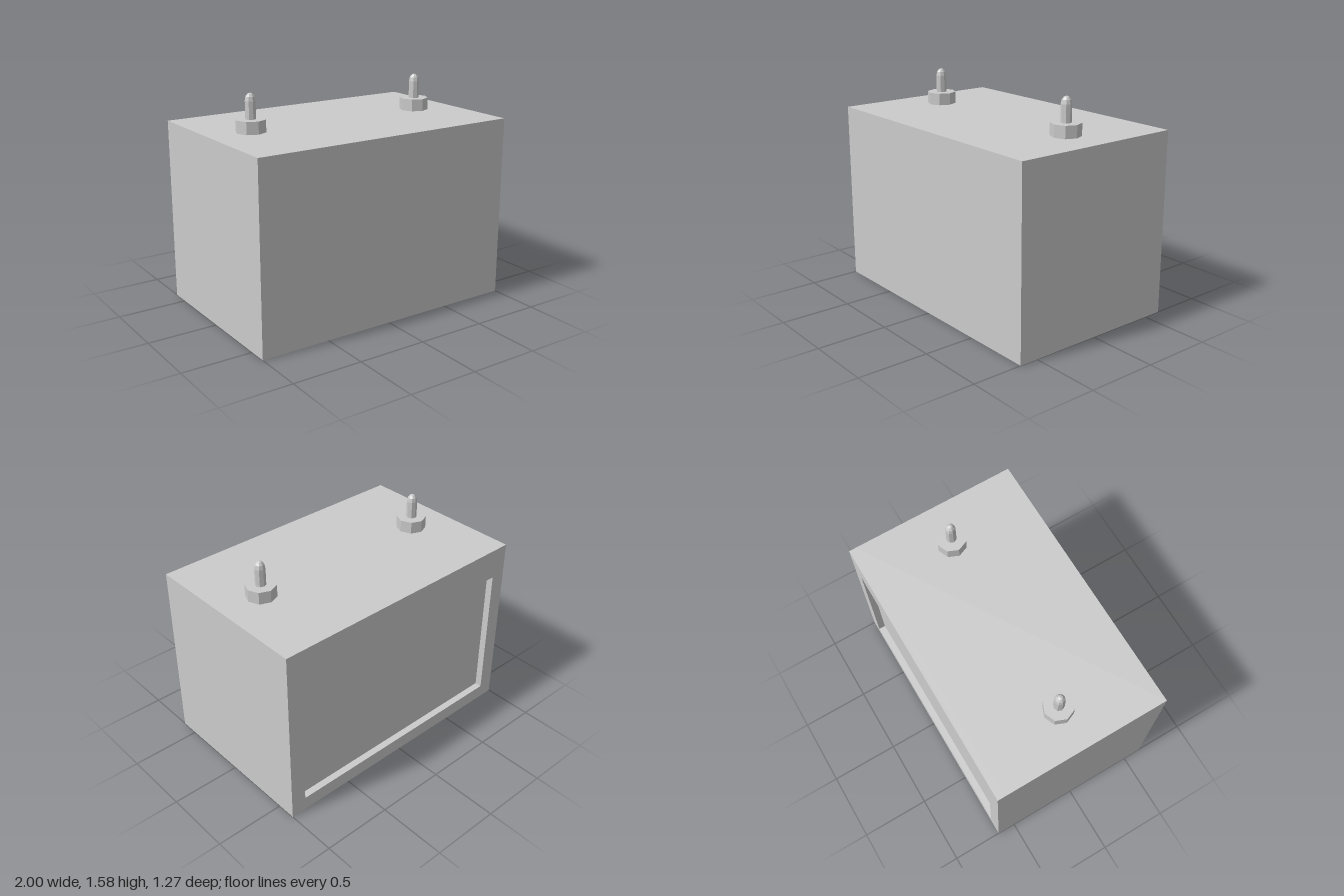
import * as THREE from 'three';

const W = 2, H = 1.315, D = 1.27;   // body size
const RECESS = 0.05;                // depth of the back panel recess

const material = new THREE.MeshStandardMaterial({ color: 0xcccccc, flatShading: true });

function addMesh(parent, name, geometry, x = 0, y = 0, z = 0) {
  const mesh = new THREE.Mesh(geometry, material);
  mesh.name = name;
  mesh.position.set(x, y, z);
  parent.add(mesh);
}

function rectangle(path, x0, y0, x1, y1) {
  path.moveTo(x0, y0).lineTo(x1, y0).lineTo(x1, y1).lineTo(x0, y1).closePath();
  return path;
}

// Terminal: octagonal nut with a round-tipped stud
function createTerminal(name, x) {
  const terminal = new THREE.Group();
  terminal.name = name;
  terminal.position.set(x, H, 0);
  addMesh(terminal, 'nut', new THREE.CylinderGeometry(0.105, 0.105, 0.087, 8), 0, 0.0435, 0);

  const profile = [
    [0.037, 0.08], [0.037, 0.21], [0.031, 0.238], [0.017, 0.256], [0, 0.262],
  ].map(([r, y]) => new THREE.Vector2(r, y));
  addMesh(terminal, 'stud', new THREE.LatheGeometry(profile, 8));
  return terminal;
}

export function createModel() {
  const model = new THREE.Group();
  model.name = 'battery';

  // Solid main case
  addMesh(model, 'case', new THREE.BoxGeometry(W, H, D - RECESS), 0, H / 2, RECESS / 2);

  // Raised frame around the recessed back panel
  const frame = rectangle(new THREE.Shape(), -W / 2, 0, W / 2, H);
  frame.holes.push(rectangle(new THREE.Path(), -0.888, 0.1, 0.888, 1.091));
  addMesh(model, 'backFrame',
    new THREE.ExtrudeGeometry(frame, { depth: RECESS, bevelEnabled: false }), 0, 0, -D / 2);

  // Pair of terminals on the lid
  model.add(createTerminal('leftTerminal', 0.688), createTerminal('rightTerminal', -0.69));
  return model;
}
